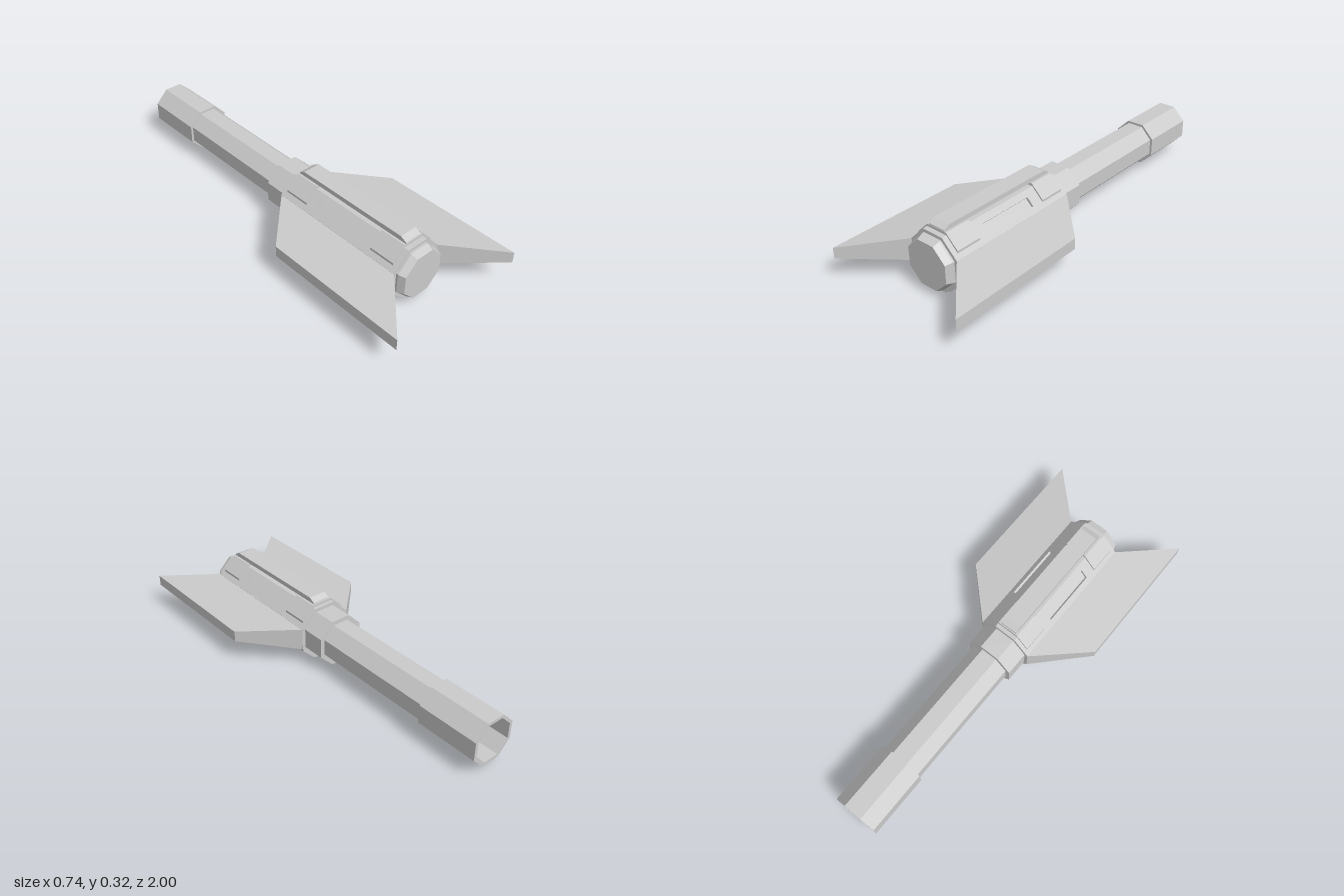
import * as THREE from 'three';

const SIDES = 8;
const HALF = Math.PI / SIDES;
const AXIS_Y = 0.149;
const BODY = { apothem: 0.137, back: 0.06, front: 0.765 };

export function createModel() {
  const root = new THREE.Group();
  root.name = 'finnedLauncher';
  const model = new THREE.Group();
  model.name = 'launcherParts';
  model.position.y = AXIS_Y; // all parts are built around the long axis
  root.add(model);

  const material = new THREE.MeshStandardMaterial({ color: 0xcccccc, flatShading: true });
  const add = (name, geometry) => {
    const mesh = new THREE.Mesh(geometry, material);
    mesh.name = name;
    model.add(mesh);
    return mesh;
  };

  // Octagonal prism along z, sized by the distance from axis to flat
  const prism = (backApothem, frontApothem, z0, z1) => {
    const k = 1 / Math.cos(HALF);
    return new THREE.CylinderGeometry(frontApothem * k, backApothem * k, z1 - z0, SIDES, 1, false, HALF)
      .rotateX(Math.PI / 2)
      .translate(0, 0, (z0 + z1) / 2);
  };
  const polygon = (points) => points.map(([x, y]) => new THREE.Vector2(x, y));
  const octagon = (apothem) => Array.from({ length: SIDES }, (_, i) => {
    const a = HALF + (i * Math.PI) / 4, r = apothem / Math.cos(HALF);
    return new THREE.Vector2(r * Math.cos(a), r * Math.sin(a));
  });
  const rectangle = (w, h) => polygon([[-w, -h], [w, -h], [w, h], [-w, h]]);
  const extrude = (shape, depth) => new THREE.ExtrudeGeometry(shape, { depth, bevelEnabled: false });

  // Body core, with a plate on each flat; diagonal plates have a recessed slot
  const skin = 0.012;
  add('bodyCore', prism(BODY.apothem - skin, BODY.apothem - skin, BODY.back, BODY.front));
  const halfLength = (BODY.front - BODY.back) / 2;
  for (let i = 0; i < SIDES; i++) {
    const shape = new THREE.Shape(rectangle(BODY.apothem * Math.tan(HALF), halfLength));
    if (i % 2) shape.holes.push(new THREE.Path(rectangle(0.024, 0.143)));
    add(i % 2 ? 'slottedBodyPlate' : 'bodyPlate', extrude(shape, skin)
      .rotateX(-Math.PI / 2)
      .translate(0, BODY.apothem - skin, BODY.back + halfLength)
      .rotateZ((i * Math.PI) / 4));
  }

  // Tapered nose cap
  add('noseRim', prism(0.122, 0.122, 0.76, 0.775));
  add('noseCap', prism(0.122, 0.11, 0.775, 0.808));

  // Collar, tube and hollow end sleeve
  add('collar', prism(0.12, 0.12, -0.057, BODY.back));
  add('tube', prism(0.098, 0.098, -0.7, -0.05));
  const sleeve = new THREE.Shape(octagon(0.11));
  sleeve.holes.push(new THREE.Path(octagon(0.095)));
  add('endSleeve', extrude(sleeve, 0.31).translate(0, 0, -1));

  // Raised saddles over the upper and lower faces, front and back
  const saddle = new THREE.Shape(polygon([
    [-0.118, 0.06], [0.118, 0.06], [0.118, 0.087],
    [0.055, 0.149], [-0.055, 0.149], [-0.118, 0.087],
  ]));
  for (const z of [0.08, 0.61]) {
    add('upperSaddle', extrude(saddle, 0.13).translate(0, 0, z));
    add('lowerSaddle', extrude(saddle, 0.13).translate(0, 0, z).rotateZ(Math.PI));
  }

  // Top rail with sloped ends, bridging the saddles
  const rail = new THREE.Shape(polygon([
    [0.085, 0.149], [0.74, 0.149], [0.738, 0.156], [0.708, 0.172], [0.115, 0.172], [0.087, 0.156],
  ]));
  add('topRail', extrude(rail, 0.09).rotateY(-Math.PI / 2).translate(0.045, 0, 0));

  // Swept fins that thin towards the tip
  for (const side of [1, -1]) {
    const fin = new THREE.BoxGeometry(1, 1, 1);
    const p = fin.attributes.position;
    for (let i = 0; i < p.count; i++) {
      const tip = p.getX(i) * side > 0, front = p.getZ(i) > 0;
      p.setXYZ(i,
        side * (tip ? 0.369 : 0.136),
        Math.sign(p.getY(i)) * (tip ? 0.0275 : 0.056),
        tip ? (front ? 1 : 0.29) : (front ? BODY.front : BODY.back));
    }
    fin.computeVertexNormals();
    add(side > 0 ? 'leftFin' : 'rightFin', fin);
  }
  return root;
}
